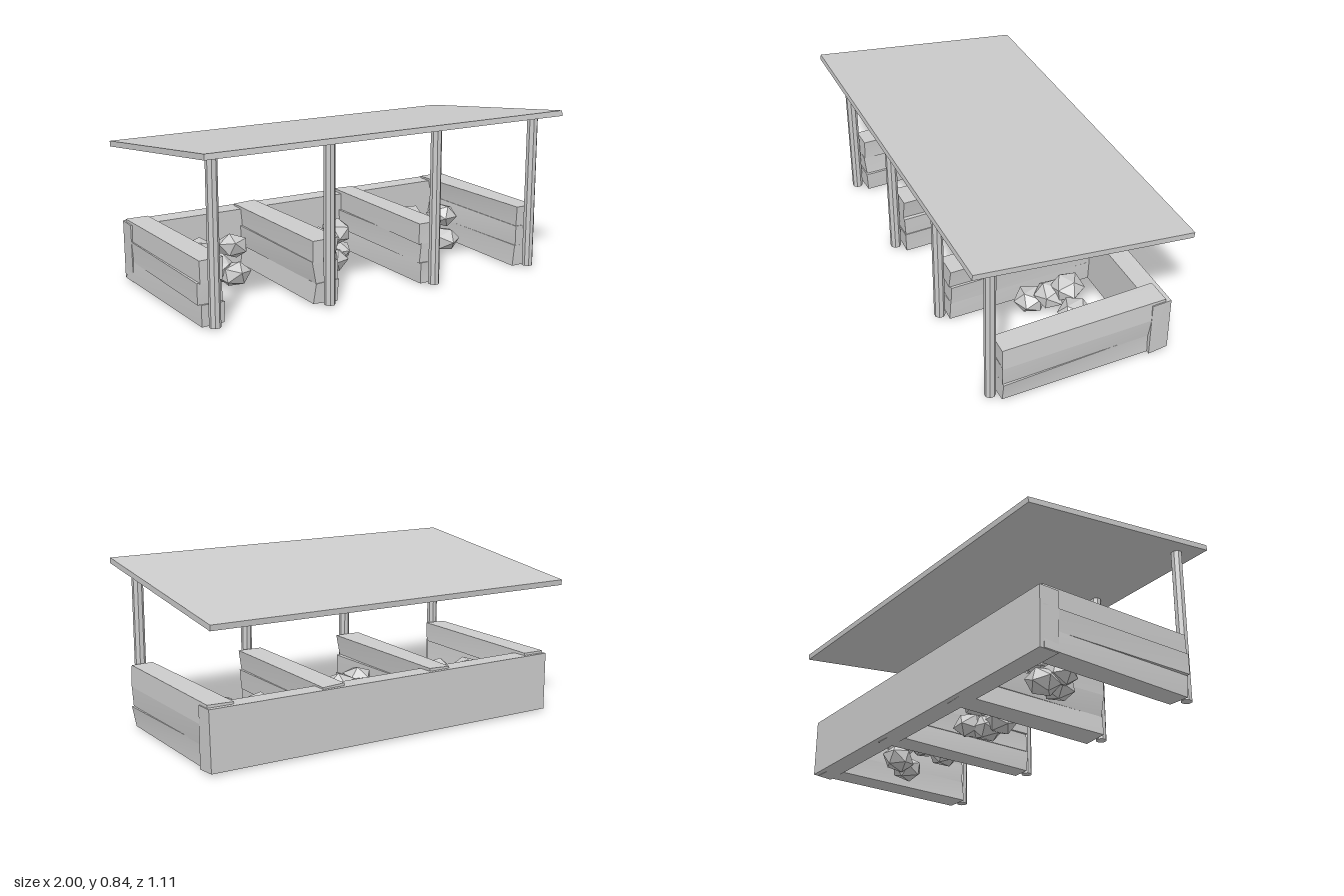
import * as THREE from 'three';

const grey = new THREE.MeshStandardMaterial({ color: 0xcccccc });
const stone = new THREE.MeshStandardMaterial({ color: 0xcccccc, flatShading: true });

// small seeded generator for hand-hewn irregularity
let seed = 7;
const rand = () => {
  seed = (seed * 16807) % 2147483647;
  return seed / 2147483647 - 0.5;
};

function add(parent, name, geometry, material, x, y, z) {
  const mesh = new THREE.Mesh(geometry, material);
  mesh.name = name;
  mesh.position.set(x, y, z);
  parent.add(mesh);
  return mesh;
}

// box whose eight corners are each nudged a little
function roughBox(w, h, d, jx, jy, jz) {
  const g = new THREE.BoxGeometry(w, h, d);
  const p = g.attributes.position;
  const nudges = Array.from({ length: 8 }, () => [rand() * jx, rand() * jy, rand() * jz]);
  for (let i = 0; i < p.count; i++) {
    const n = nudges[(p.getX(i) > 0) + 2 * (p.getY(i) > 0) + 4 * (p.getZ(i) > 0)];
    p.setXYZ(i, p.getX(i) + n[0], p.getY(i) + n[1], p.getZ(i) + n[2]);
  }
  g.computeVertexNormals();
  return g;
}

export function createModel() {
  seed = 7;
  const model = new THREE.Group();
  model.name = 'storageBays';

  // sloping roof, high at the front
  const roof = add(model, 'roof', new THREE.BoxGeometry(2, 0.028, 1.112), grey, 0, 0.772, 0);
  roof.rotation.x = -0.1235;

  // posts and the stacked-plank partitions behind them
  const post = new THREE.CylinderGeometry(0.028, 0.028, 0.79, 8).rotateY(Math.PI / 8).toNonIndexed();
  post.computeVertexNormals();
  for (const x of [-0.91, -0.305, 0.305, 0.91]) {
    add(model, 'post', post, grey, x, 0.415, 0.43);
    const partition = new THREE.Group();
    partition.name = 'partition';
    model.add(partition);
    for (let row = 0; row < 3; row++) {
      const plank = roughBox(0.118, 0.106, 0.85, 0.025, 0.008, 0.01);
      add(partition, 'plank', plank, grey, x + rand() * 0.008, 0.07 + row * 0.104, -0.032);
    }
  }

  // back wall, one long thick board
  add(model, 'backWall', roughBox(1.955, 0.3, 0.105, 0.01, 0.015, 0.01), grey, 0, 0.172, -0.429);

  // heaps of rocks in the three bays: x, y, z of each rock
  const heaps = [
    [[-0.71, 0.2, -0.15], [-0.535, 0.205, -0.13], [-0.64, 0.12, -0.1], [-0.57, 0.085, -0.05], [-0.6, 0.075, -0.17]],
    [[-0.11, 0.2, 0], [0.04, 0.205, -0.08], [-0.07, 0.09, -0.02], [0.06, 0.09, -0.11], [0, 0.07, -0.05]],
    [[0.56, 0.195, -0.15], [0.735, 0.195, -0.1], [0.52, 0.14, -0.08], [0.455, 0.085, 0],
      [0.67, 0.09, -0.15], [0.725, 0.07, -0.06]],
  ];
  const rock = new THREE.IcosahedronGeometry(0.088, 0);
  for (const heap of heaps) {
    const pile = new THREE.Group();
    pile.name = 'rockPile';
    model.add(pile);
    for (const [x, y, z] of heap) {
      const r = add(pile, 'rock', rock, stone, x, y, z);
      r.scale.set(1, 0.75, 0.95);
      r.rotation.set(rand() * 0.5, rand() * 6, rand() * 0.5);
    }
  }
  return model;
}
